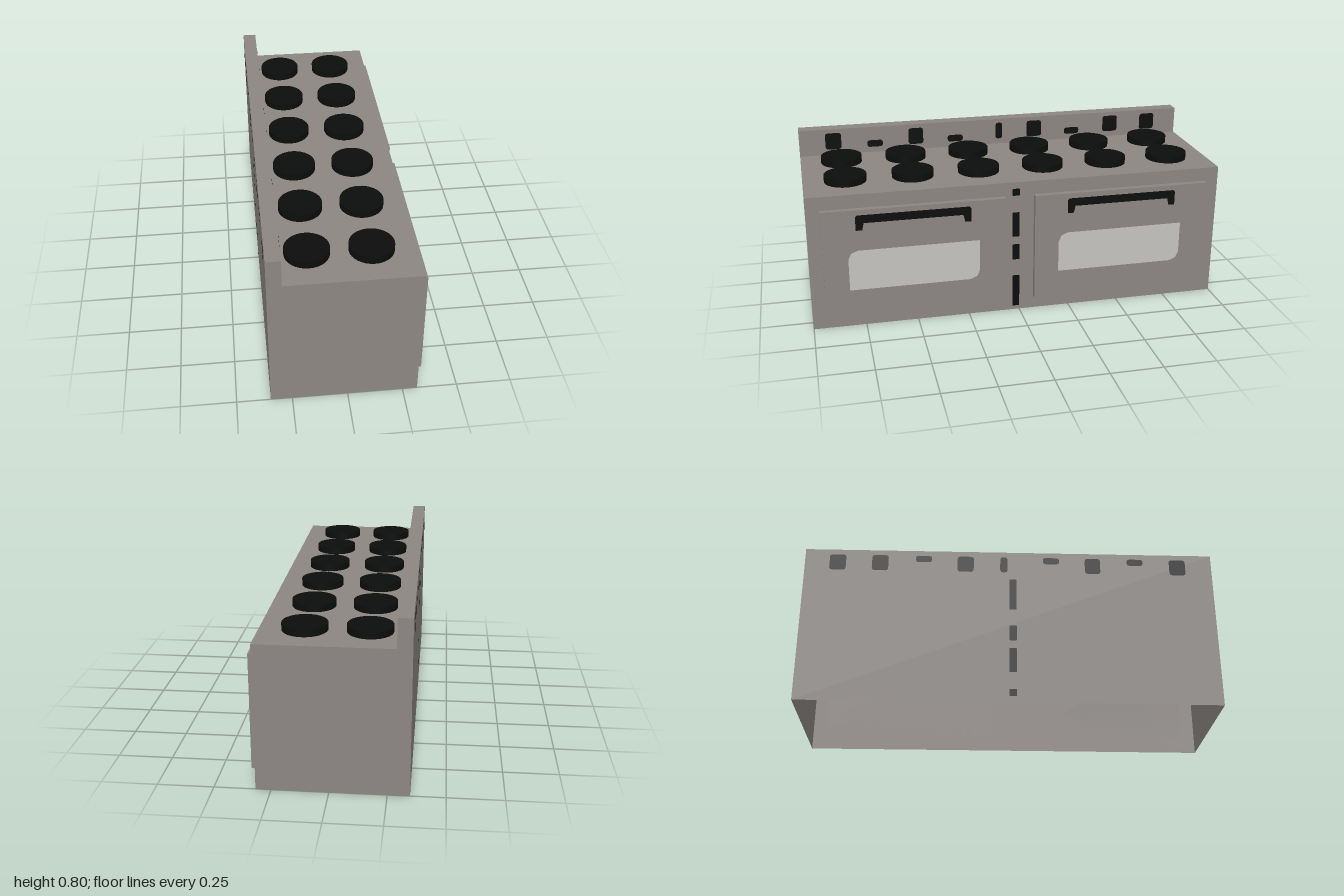
import * as THREE from 'three';

const mat = (name, color, side = THREE.FrontSide) => {
  const m = new THREE.MeshStandardMaterial({ color, side });
  m.name = name;
  return m;
};

const BACK = -0.347, FRONT = 0.318, PANEL = -0.281, DOOR = 0.345;
const TOP = 0.667, HEIGHT = 0.8;

// Chamfered rectangle; corner cuts run bottom-left, bottom-right, top-right, top-left
function plateShape(x0, x1, y0, y1, cuts) {
  const [a, b, c, d] = cuts;
  return new THREE.Shape([
    [x0 + a, y0], [x1 - b, y0], [x1 - b * 0.3, y0 + b * 0.3], [x1, y0 + b],
    [x1, y1 - c], [x1 - c * 0.3, y1 - c * 0.3], [x1 - c, y1],
    [x0 + d, y1], [x0 + d * 0.3, y1 - d * 0.3], [x0, y1 - d],
    [x0, y0 + a], [x0 + a * 0.3, y0 + a * 0.3],
  ].map(([x, y]) => new THREE.Vector2(x, y)));
}

export function createModel() {
  const root = new THREE.Group();
  root.name = 'range';
  const steel = mat('steel', 0x8d8783, THREE.DoubleSide);
  const black = mat('black', 0x0c0d0d, THREE.DoubleSide);
  const glass = mat('glass', 0xc6c5c0, THREE.DoubleSide);

  const add = (name, geometry, material, x = 0, y = 0, z = 0, parent = root) => {
    const mesh = new THREE.Mesh(geometry, material);
    mesh.name = name;
    mesh.position.set(x, y, z);
    parent.add(mesh);
    return mesh;
  };
  // Flat marking facing +x; its shapes use -z as the horizontal axis
  const addPlate = (name, shapes, material, x, z = 0, parent = root) => {
    const mesh = add(name, new THREE.ShapeGeometry(shapes), material, x, 0, z, parent);
    mesh.rotation.y = Math.PI / 2;
    return mesh;
  };

  // Body with raised back panel, open underneath
  const profile = new THREE.Shape([
    [BACK, 0], [FRONT, 0], [FRONT, TOP], [PANEL, TOP], [PANEL, HEIGHT], [BACK, HEIGHT],
  ].map(([x, y]) => new THREE.Vector2(x, y)));
  const solid = new THREE.ExtrudeGeometry(profile, { depth: 2, bevelEnabled: false }).toNonIndexed();
  const pos = solid.attributes.position, nor = solid.attributes.normal;
  const keptPos = [], keptNor = [];
  for (let i = 0; i < pos.count; i += 3) {
    if (pos.getY(i) + pos.getY(i + 1) + pos.getY(i + 2) < 1e-4) continue;
    for (let j = i; j < i + 3; j++) {
      keptPos.push(pos.getX(j), pos.getY(j), pos.getZ(j) - 1);
      keptNor.push(nor.getX(j), nor.getY(j), nor.getZ(j));
    }
  }
  const shell = new THREE.BufferGeometry();
  shell.setAttribute('position', new THREE.Float32BufferAttribute(keptPos, 3));
  shell.setAttribute('normal', new THREE.Float32BufferAttribute(keptNor, 3));
  add('body', shell, steel);

  // Burners, two rows of six
  const burnerGeo = new THREE.CylinderGeometry(0.1, 0.1, 0.034, 32);
  for (const x of [-0.16, 0.12])
    for (const z of [-0.8, -0.48, -0.16, 0.16, 0.48, 0.8])
      add('burner', burnerGeo, black, x, TOP + 0.0165, z);

  // Oven doors with window and handle
  const windowShape = plateShape(-0.31, 0.31, 0.2, 0.4, [0.004, 0.045, 0.004, 0.045]);
  const handleShape = new THREE.Shape([
    [-0.27, 0.5], [-0.24, 0.5], [-0.232, 0.535], [0.232, 0.535], [0.24, 0.5], [0.27, 0.5],
    [0.27, 0.567], [0.262, 0.575], [-0.262, 0.575], [-0.27, 0.567],
  ].map(([x, y]) => new THREE.Vector2(x, y)));
  for (const z of [0.503, -0.503]) {
    const door = new THREE.Group();
    door.name = 'ovenDoor';
    root.add(door);
    add('doorPanel', new THREE.BoxGeometry(DOOR - FRONT, 0.533, 0.866), steel,
      (DOOR + FRONT) / 2, 0.3335, z, door);
    addPlate('doorWindow', windowShape, glass, DOOR + 0.002, z > 0 ? 0.51 : -0.498, door);
    addPlate('doorHandle', handleShape, black, DOOR + 0.002, z > 0 ? 0.508 : -0.5, door);
  }

  // Dashed centre seam, turned upside down on the back
  const dashes = [[0.02, 0.185], [0.27, 0.35], [0.39, 0.515], [0.6, 0.635]];
  const seam = flip => dashes.map(([a, b]) => flip
    ? plateShape(-0.035, 0, TOP - b, TOP - a, [0.003, 0.003, 0.003, 0.003])
    : plateShape(-0.035, 0, a, b, [0.003, 0.003, 0.003, 0.003]));
  addPlate('frontSeam', seam(false), black, FRONT + 0.002);
  addPlate('backSeam', seam(true), black, BACK - 0.002);
  addPlate('backSeamInside', seam(true), black, BACK + 0.002);

  // Control knobs: [z, half width, height]
  const knobs = [
    [0.83, 0.04, 0.085], [0.62, 0.04, 0.035], [0.41, 0.038, 0.085], [0.205, 0.04, 0.035],
    [-0.027, 0.018, 0.085], [-0.215, 0.04, 0.085], [-0.42, 0.04, 0.035],
    [-0.633, 0.04, 0.085], [-0.84, 0.04, 0.085],
  ];
  const knobShapes = flip => knobs.map(([z, w, h]) => {
    const y0 = flip ? HEIGHT + TOP - 0.695 - h : 0.695;
    return plateShape(-z - w, -z + w, y0, y0 + h, [0.012, 0.012, 0.012, 0.012]);
  });
  addPlate('frontKnobs', knobShapes(false), black, PANEL + 0.002);
  addPlate('backKnobs', knobShapes(true), black, BACK - 0.002);

  return root;
}
